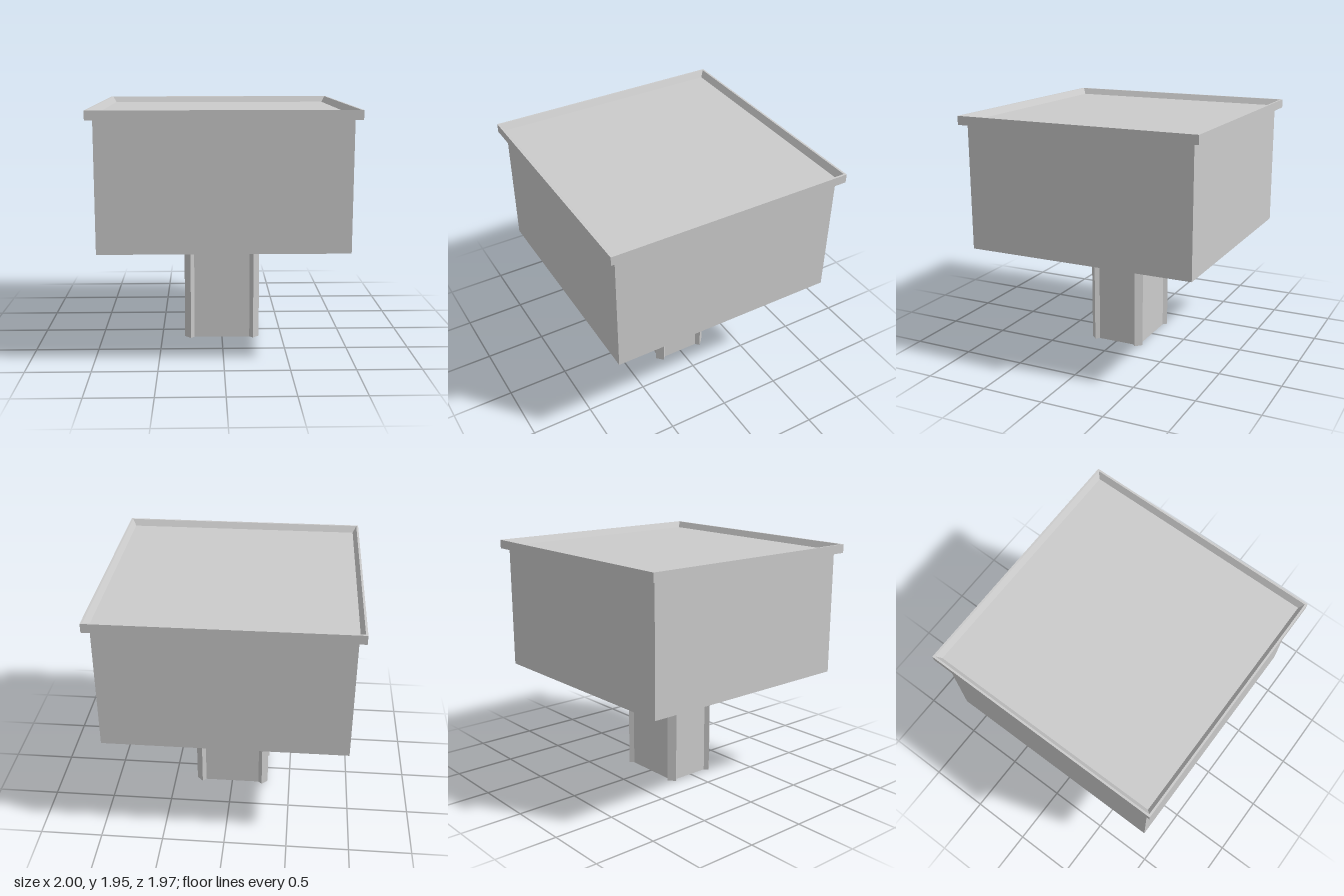
import * as THREE from 'three';

const material = new THREE.MeshStandardMaterial({ color: 0xcccccc, flatShading: true, side: THREE.DoubleSide });

// Rectangle outline, counter-clockwise seen from above
const rect = (x, z) => [[x, z], [x, -z], [-x, -z], [-x, z]];

// Flat-sided sheet running through closed outlines: rings = [[outline, y], ...]
function loft(name, rings) {
  const pos = [];
  for (let r = 0; r < rings.length - 1; r++) {
    const [lo, y0] = rings[r], [hi, y1] = rings[r + 1];
    for (let i = 0; i < lo.length; i++) {
      const j = (i + 1) % lo.length;
      const a = [lo[i][0], y0, lo[i][1]], b = [lo[j][0], y0, lo[j][1]];
      const c = [hi[j][0], y1, hi[j][1]], d = [hi[i][0], y1, hi[i][1]];
      pos.push(...a, ...b, ...c, ...a, ...c, ...d);
    }
  }
  const geometry = new THREE.BufferGeometry();
  geometry.setAttribute('position', new THREE.Float32BufferAttribute(pos, 3));
  geometry.computeVertexNormals();
  const mesh = new THREE.Mesh(geometry, material);
  mesh.name = name;
  return mesh;
}

export function createModel() {
  const group = new THREE.Group();
  group.name = 'pedestalBox';

  // Hollow column with a diagonal post at each corner, open at both ends
  const corner = [[0.28, -0.155], [0.31, -0.185], [0.26, -0.235], [0.23, -0.205]];
  const half = [...corner, ...corner.map(([x, z]) => [-x, z]).reverse()];
  const outline = [...half, ...half.map(([x, z]) => [-x, -z])];
  group.add(loft('column', [[outline, 0], [outline, 0.885]]));

  // Box walls, open underneath
  const wall = rect(0.948, 0.932);
  group.add(loft('boxWalls', [[wall, 0.885], [wall, 1.9]]));

  // Overhanging rim: outer skirt, narrow lip, slope down to the roof
  group.add(loft('rim', [
    [rect(1, 0.984), 1.88],
    [rect(1, 0.984), 1.95],
    [rect(0.984, 0.968), 1.95],
    [rect(0.955, 0.938), 1.9],
  ]));

  // Sunken flat roof
  const roof = new THREE.Mesh(new THREE.PlaneGeometry(1.91, 1.876).rotateX(-Math.PI / 2), material);
  roof.position.y = 1.9;
  roof.name = 'roof';
  group.add(roof);

  return group;
}
